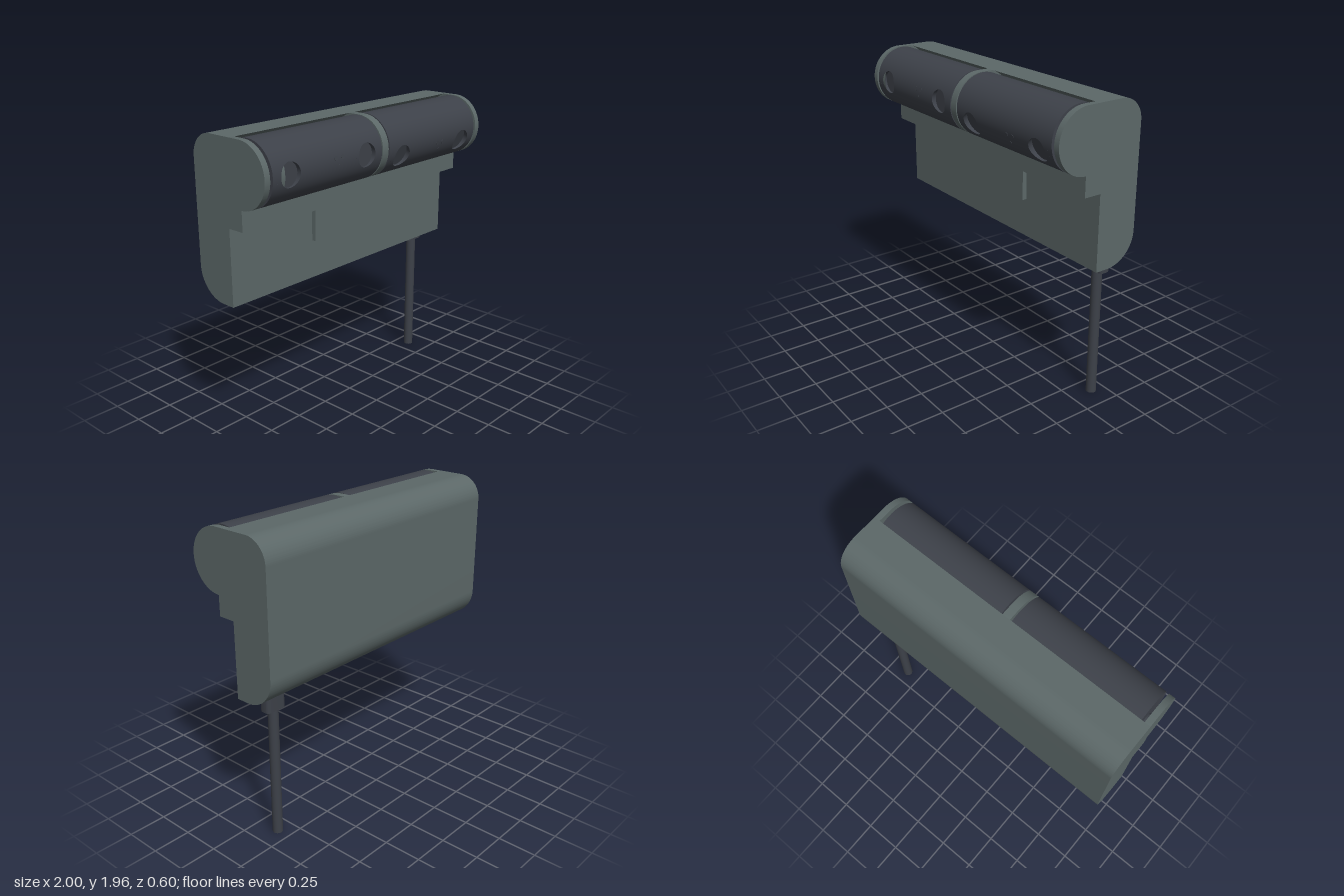
import * as THREE from 'three';
import { toCreasedNormals } from 'three/addons/utils/BufferGeometryUtils.js';
import { ParametricGeometry } from 'three/addons/geometries/ParametricGeometry.js';

const PI = Math.PI;
const R = 0.2;                 // drum radius
const POCKET = 0.215;          // radius of the hollow behind the drums
const AXIS_Y = 1.76, AXIS_Z = 0.1;
const HALF = 0.4515;           // half length of a drum
const LENS_R = 0.075, LENS_X = 0.316, PATCH = 0.1;

export function createModel() {
  const housingGrey = new THREE.MeshStandardMaterial({ color: 0x5c6868, side: THREE.DoubleSide });
  housingGrey.name = 'housingGrey';
  const darkSlate = new THREE.MeshStandardMaterial({ color: 0x3d4149, side: THREE.DoubleSide });
  darkSlate.name = 'darkSlate';

  const model = new THREE.Group();
  model.name = 'twinDrumUnit';

  function add(parent, name, geometry, material, x = 0, y = 0, z = 0) {
    const mesh = new THREE.Mesh(geometry, material);
    mesh.name = name;
    mesh.position.set(x, y, z);
    parent.add(mesh);
    return mesh;
  }

  // Extrude a side profile (drawn with -z to the right) along x
  function alongX(shape, x0, x1) {
    const g = new THREE.ExtrudeGeometry(shape, { depth: x1 - x0, bevelEnabled: false, curveSegments: 40 });
    g.rotateY(PI / 2);
    g.translate(x0, 0, 0);
    return toCreasedNormals(g, 0.5);
  }

  // Housing with the cylindrical pocket cut through its front
  const lip = Math.asin(R / POCKET);
  const lipX = -AXIS_Z + POCKET * Math.cos(lip);
  const body = new THREE.Shape();
  body.moveTo(0.015, 0.94);
  body.lineTo(0.1, 0.94);
  body.absarc(0.1, 1.14, 0.2, -PI / 2, 0, false);
  body.lineTo(0.3, 1.81);
  body.absarc(0.15, 1.81, 0.15, 0, PI / 2, false);
  body.lineTo(lipX, 1.96);
  body.absarc(-AXIS_Z, AXIS_Y, POCKET, lip, -PI / 2, true);
  body.lineTo(-0.1, 1.43);
  body.lineTo(0.015, 1.43);
  body.closePath();
  add(model, 'housing', alongX(body, -1, 1), housingGrey);

  // Rounded walls at both ends and between the drums
  const wall = new THREE.Shape();
  wall.moveTo(lipX, 1.96);
  wall.lineTo(-AXIS_Z, 1.96);
  wall.absarc(-AXIS_Z, AXIS_Y, R, PI / 2, 1.5 * PI, false);
  wall.lineTo(-AXIS_Z, AXIS_Y - POCKET);
  wall.absarc(-AXIS_Z, AXIS_Y, POCKET, -PI / 2, lip, false);
  add(model, 'rightEndWall', alongX(wall, -1, -0.96), housingGrey);
  add(model, 'middleWall', alongX(wall, -0.027, 0.027), housingGrey);
  add(model, 'leftEndWall', alongX(wall, 0.96, 1), housingGrey);

  // Raised front panel
  add(model, 'frontPanel', new THREE.BoxGeometry(0.67, 0.215, 0.03), housingGrey, 0, 1.298, 0);

  // Height of the drum surface in front of its axis
  const front = (y) => Math.sqrt(R * R - y * y);

  // Part of the drum shell between two lengths and two angles from the front
  const shell = (x0, x1, a0, a1, n) => new ParametricGeometry((u, v, p) => {
    const a = a0 + (a1 - a0) * v;
    p.set(x0 + (x1 - x0) * u, R * Math.sin(a), R * Math.cos(a));
  }, 1, n);

  // Square piece of shell around a round lens opening
  const lensSurround = new ParametricGeometry((u, v, p) => {
    const a = u * 2 * PI, c = Math.cos(a), s = Math.sin(a);
    const outer = PATCH / Math.max(Math.abs(c), Math.abs(s));
    const d = LENS_R + (outer - LENS_R) * v;
    const y = THREE.MathUtils.clamp(d * s, -PATCH, PATCH);
    p.set(d * c, y, front(y));
  }, 64, 4);

  // Bore wall down to a flat lens
  const FLOOR = 0.17;
  const lensBore = new ParametricGeometry((u, v, p) => {
    const a = u * 2 * PI, y = LENS_R * Math.sin(a);
    p.set(LENS_R * Math.cos(a), y, front(y) + (FLOOR - front(y)) * v);
  }, 64, 1);

  function makeDrum(name, x, tilt) {
    const drum = new THREE.Group();
    drum.name = name;
    drum.position.set(x, AXIS_Y, AXIS_Z);
    drum.rotation.x = tilt;
    model.add(drum);

    // Shell around the two lens patches
    const edge = Math.asin(PATCH / R);
    const inner = LENS_X - PATCH, outer = LENS_X + PATCH;
    add(drum, 'drumBack', shell(-HALF, HALF, edge, 2 * PI - edge, 60), darkSlate);
    for (const [x0, x1] of [[-HALF, -outer], [-inner, inner], [outer, HALF]]) {
      add(drum, 'drumFront', shell(x0, x1, -edge, edge, 16), darkSlate);
    }

    for (const side of [-1, 1]) {
      add(drum, 'lensSurround', lensSurround, darkSlate, side * LENS_X);
      add(drum, 'lensBore', lensBore, darkSlate, side * LENS_X);
      add(drum, 'lens', new THREE.CircleGeometry(LENS_R, 64), darkSlate, side * LENS_X, 0, FLOOR);
      // End cap and axle stub
      const cap = add(drum, 'drumEnd', new THREE.CircleGeometry(R, 72), darkSlate, side * HALF);
      cap.rotation.y = side * PI / 2;
      const axle = add(drum, 'axle', new THREE.CylinderGeometry(0.05, 0.05, 0.04, 32), darkSlate, side * HALF);
      axle.rotation.z = PI / 2;
    }

    // Three small indicator dots
    for (const [dx, dy, r] of [[-0.027, 0.03, 0.014], [0.027, 0.03, 0.014], [0, -0.016, 0.007]]) {
      const dot = add(drum, 'indicatorDot', new THREE.CylinderGeometry(r, r, 0.006, 20), darkSlate,
        0.073 + dx, dy, front(dy) - 0.001);
      dot.rotation.x = PI / 2 - Math.asin(dy / R);
    }
    return drum;
  }

  const rightDrum = makeDrum('rightDrum', -0.4885, 0);
  makeDrum('leftDrum', 0.4885, 0.36);

  // Shutter edge covering one side of the outermost lens
  const shutter = new ParametricGeometry((u, v, p) => {
    const x = -LENS_R + 0.03 * u;
    const y = Math.sqrt(Math.max(0, LENS_R * LENS_R - x * x)) * (2 * v - 1);
    p.set(x, y, front(y));
  }, 12, 12);
  add(rightDrum, 'lensShutter', shutter, housingGrey, -LENS_X);

  // Cable with its flat strain-relief collar
  const collar = new THREE.Shape();
  const w = 0.073, d = 0.038, r = 0.025;
  [[w - r, d - r, 0], [r - w, d - r, 1], [r - w, r - d, 2], [w - r, r - d, 3]].forEach(([cx, cy, k]) =>
    collar.absarc(cx, cy, r, k * PI / 2, (k + 1) * PI / 2, false));
  const collarGeo = new THREE.ExtrudeGeometry(collar, { depth: 0.14, bevelEnabled: false, curveSegments: 8 });
  collarGeo.rotateX(-PI / 2);
  add(model, 'cableCollar', toCreasedNormals(collarGeo, 0.5), darkSlate, 0.857, 0.87, -0.157);
  add(model, 'cable', new THREE.CylinderGeometry(0.033, 0.033, 0.9, 32), darkSlate, 0.857, 0.45, -0.157);

  return model;
}
